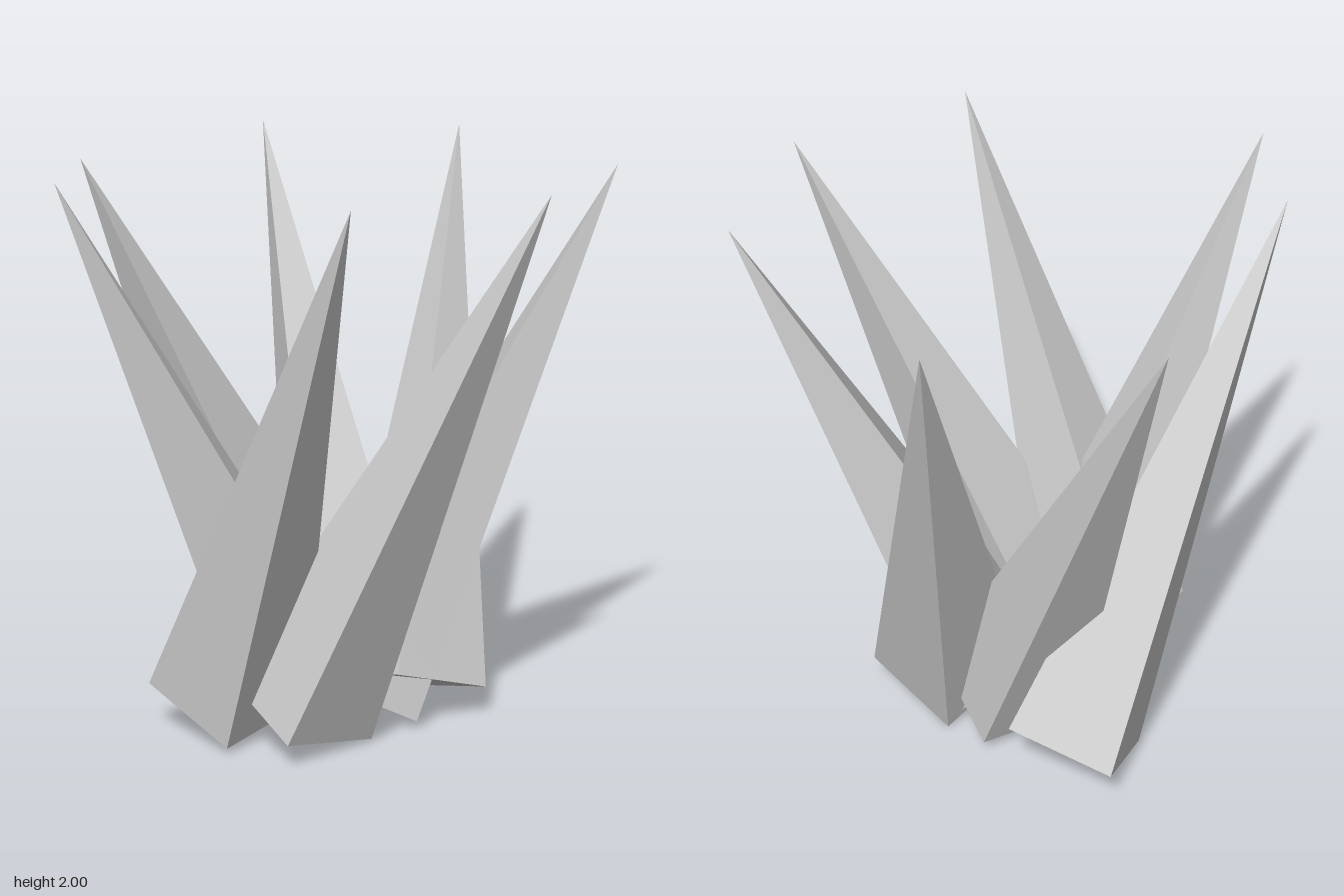
import * as THREE from 'three';

// Each spike: tip (x, z), centre of its square base, and one corner of that base
const SPIKES = [
  { tip: [0.01, 0.88], base: [-0.31, 0.12, 0.06], corner: [-0.15, 0.01, 0.26] },
  { tip: [0.615, 0.69], base: [0.05, 0.115, 0.04], corner: [0.04, 0.03, 0.31] },
  { tip: [0.915, -0.27], base: [0.15, 0.116, 0.17], corner: [0.37, 0, 0.03] },
  { tip: [0.5, -0.89], base: [0.147, 0.12, -0.085], corner: [0.41, 0.05, -0.155] },
  { tip: [-0.55, -0.74], base: [0.27, 0.12, -0.45], corner: [0.065, 0.01, -0.59] },
  { tip: [-0.92, -0.45], base: [-0.1, 0.115, -0.15], corner: [-0.35, 0.015, -0.12] },
  { tip: [-0.625, 0.595], base: [-0.394, 0.12, -0.215], corner: [-0.572, 0.01, -0.04] },
];
const TIP_HEIGHT = 2;
const BASE_RADIUS = 0.28;

// A four-sided pyramid leaning from its base centre to its tip
function makeSpike({ tip, base, corner }, material) {
  const top = new THREE.Vector3(tip[0], TIP_HEIGHT, tip[1]);
  const foot = new THREE.Vector3(...base);
  const axis = top.clone().sub(foot);
  const length = axis.length();
  axis.normalize();

  // The cone's first base corner lies on its local +z
  const toCorner = new THREE.Vector3(...corner).sub(foot).projectOnPlane(axis).normalize();
  const side = axis.clone().cross(toCorner);

  const spike = new THREE.Mesh(new THREE.ConeGeometry(BASE_RADIUS, length, 4), material);
  spike.quaternion.setFromRotationMatrix(new THREE.Matrix4().makeBasis(side, axis, toCorner));
  spike.position.copy(foot).add(top).multiplyScalar(0.5);
  return spike;
}

export function createModel() {
  const group = new THREE.Group();
  group.name = 'spikeCluster';
  const material = new THREE.MeshStandardMaterial({ color: 0xcccccc, flatShading: true });
  SPIKES.forEach((spec, i) => {
    const spike = makeSpike(spec, material);
    spike.name = `spike${i + 1}`;
    group.add(spike);
  });
  return group;
}
